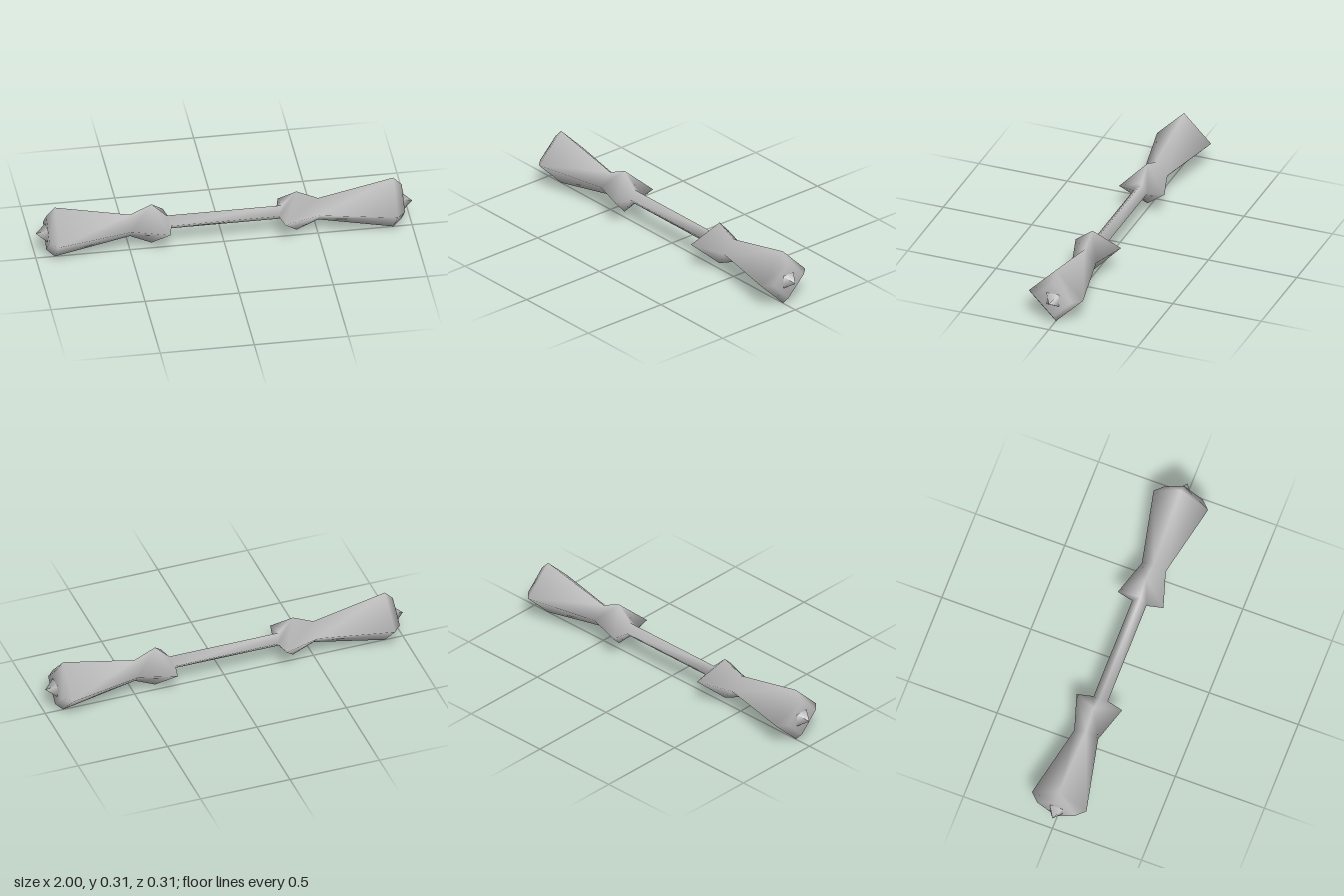
import * as THREE from 'three';

const CENTRE_Y = 0.155;

// Half profile from the outer cap inward:
// [x of top/bottom corners, their radius, x of front/back corners, their radius]
const HALF = [
  [0.945, 0.105, 0.945, 0.105], // flat end cap
  [0.9, 0.153, 0.9, 0.153],     // widest part of the head
  [0.5, 0.067, 0.5, 0.067],     // waist
  [0.385, 0.12, 0.305, 0.128],  // flared collar with swept side points
  [0.305, 0.041, 0.285, 0.04],  // start of the bar
];

// Skins diamond sections along x with shared, smooth corners
function diamondLoft(sections) {
  const positions = [];
  const index = [];
  for (const [xv, rv, xs, rs] of sections) {
    positions.push(xv, rv, 0, xs, 0, rs, xv, -rv, 0, xs, 0, -rs);
  }
  for (let i = 0; i < sections.length - 1; i++) {
    for (let k = 0; k < 4; k++) {
      const a = i * 4 + k;
      const b = i * 4 + ((k + 1) % 4);
      index.push(a, b, a + 4, b, b + 4, a + 4);
    }
  }
  // End caps
  const e = (sections.length - 1) * 4;
  index.push(0, 2, 1, 0, 3, 2, e, e + 1, e + 2, e, e + 2, e + 3);
  const geometry = new THREE.BufferGeometry();
  geometry.setAttribute('position', new THREE.Float32BufferAttribute(positions, 3));
  geometry.setIndex(index);
  geometry.computeVertexNormals();
  return geometry;
}

export function createModel() {
  const group = new THREE.Group();
  group.name = 'doubleHeadedBar';
  const metal = new THREE.MeshStandardMaterial({ color: 0xc0c0c0 });
  metal.name = 'grey metal';

  // Bar with a flared head at each end
  const left = [...HALF].reverse();
  const right = HALF.map(([xv, rv, xs, rs]) => [-xv, rv, -xs, rs]);
  const body = new THREE.Mesh(diamondLoft([...right, ...left]), metal);
  body.name = 'barAndHeads';
  body.position.y = CENTRE_Y;
  group.add(body);

  // Small pyramid spike on each end cap
  for (const side of [1, -1]) {
    const geometry = new THREE.ConeGeometry(0.05, 0.055, 4, 1, true, Math.PI / 4);
    geometry.rotateZ(-side * Math.PI / 2);
    const spike = new THREE.Mesh(geometry, metal);
    spike.name = side > 0 ? 'leftSpike' : 'rightSpike';
    spike.position.set(side * 0.9725, CENTRE_Y, 0);
    group.add(spike);
  }
  return group;
}
